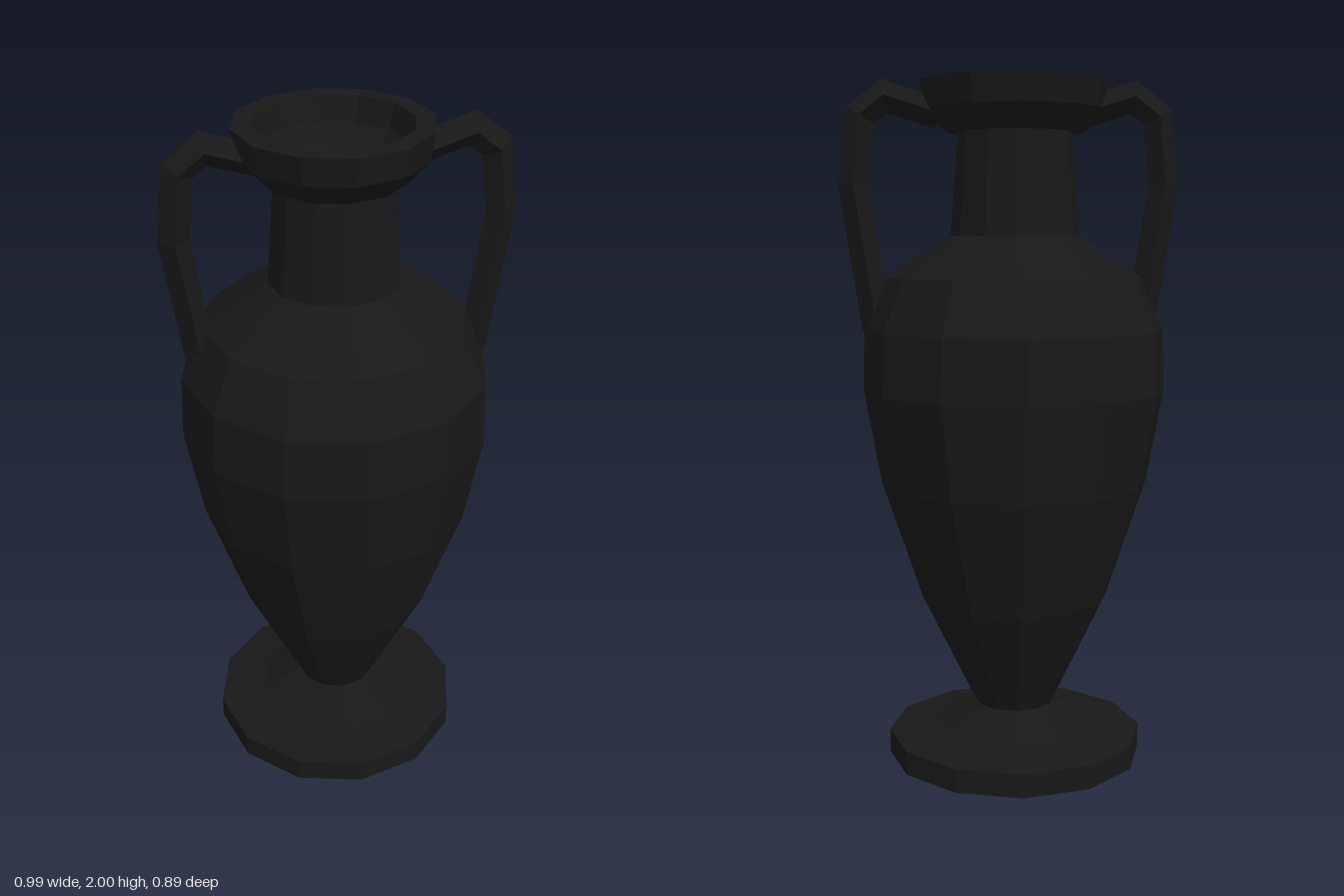
import * as THREE from 'three';

const material = new THREE.MeshStandardMaterial({ color: 0x181818, flatShading: true });

// Twelve-sided turned part from [radius, height] pairs
function turned(name, profile) {
  const points = profile.map(([r, y]) => new THREE.Vector2(r, y));
  const mesh = new THREE.Mesh(new THREE.LatheGeometry(points, 12), material);
  mesh.name = name;
  return mesh;
}

// Diamond-section bar with mitred corners along a path in the xy plane
function handleGeometry(path, half, halfZ) {
  const pts = path.map(([x, y]) => new THREE.Vector2(x, y));
  const dirs = pts.slice(1).map((p, i) => p.clone().sub(pts[i]).normalize());
  const positions = [];
  const index = [];
  pts.forEach((p, i) => {
    const before = dirs[Math.max(i - 1, 0)];
    const after = dirs[Math.min(i, dirs.length - 1)];
    const d = before.clone().add(after).normalize();
    const w = half / d.dot(before);
    const nx = -d.y * w, ny = d.x * w;
    positions.push(p.x + nx, p.y + ny, 0, p.x, p.y, halfZ, p.x - nx, p.y - ny, 0, p.x, p.y, -halfZ);
    if (i === 0) return;
    for (let k = 0; k < 4; k++) {
      const a = (i - 1) * 4 + k, b = (i - 1) * 4 + (k + 1) % 4;
      index.push(a, b, b + 4, a, b + 4, a + 4);
    }
  });
  // End caps
  const e = (pts.length - 1) * 4;
  index.push(0, 3, 2, 0, 2, 1, e, e + 1, e + 2, e, e + 2, e + 3);
  const geometry = new THREE.BufferGeometry();
  geometry.setAttribute('position', new THREE.Float32BufferAttribute(positions, 3));
  geometry.setIndex(index);
  geometry.computeVertexNormals();
  return geometry;
}

export function createModel() {
  const model = new THREE.Group();
  model.name = 'amphora';

  // Vessel, slightly off the handles' centre line
  const vessel = new THREE.Group();
  vessel.name = 'vessel';
  vessel.position.x = -0.016;
  vessel.add(
    turned('foot', [[0, 0], [0.38, 0], [0.38, 0.07], [0.235, 0.095], [0.118, 0.16]]),
    turned('body', [[0.118, 0.16], [0.277, 0.485], [0.395, 0.835], [0.445, 1.11],
      [0.44, 1.29], [0.372, 1.44], [0.187, 1.56]]),
    turned('neck', [[0.187, 1.56], [0.165, 1.855]]),
    // Rim, then down the inside to the floor of the mouth
    turned('rim', [[0.165, 1.855], [0.2, 1.855], [0.257, 1.92], [0.272, 2], [0.217, 2],
      [0.2, 1.93], [0.16, 1.88], [0.13, 1.86], [0.097, 1.6], [0, 1.6]]),
  );
  model.add(vessel);

  // Handles from rim to shoulder
  const geometry = handleGeometry(
    [[0.2, 1.905], [0.36, 1.955], [0.43, 1.9], [0.45, 1.71], [0.387, 1.29]], 0.043, 0.042);
  for (const [name, turn] of [['leftHandle', 0], ['rightHandle', Math.PI]]) {
    const handle = new THREE.Mesh(geometry, material);
    handle.name = name;
    handle.rotation.y = turn;
    model.add(handle);
  }
  return model;
}
